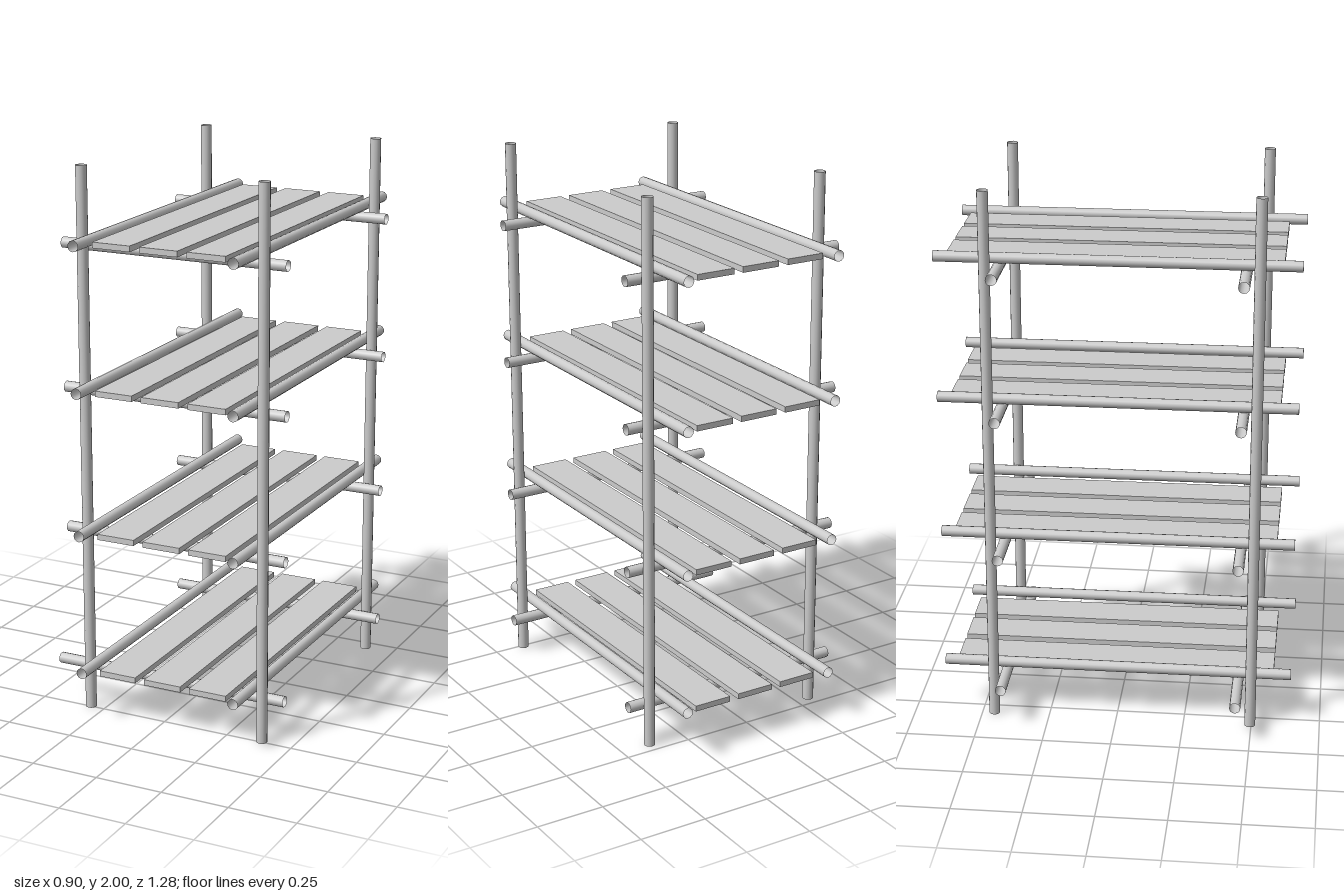
import * as THREE from 'three';

const R = 0.02;

export function createModel() {
  const model = new THREE.Group();
  const poleMat = new THREE.MeshStandardMaterial({ color: 0xcccccc, side: THREE.DoubleSide });
  const plankMat = new THREE.MeshStandardMaterial({ color: 0xcccccc });

  // Open-ended tube running from a to b
  function pole(name, parent, a, b) {
    const start = new THREE.Vector3(...a), end = new THREE.Vector3(...b);
    const dir = end.clone().sub(start);
    const mesh = new THREE.Mesh(new THREE.CylinderGeometry(R, R, dir.length(), 12, 1, true), poleMat);
    mesh.position.copy(start).add(end).multiplyScalar(0.5);
    mesh.quaternion.setFromUnitVectors(new THREE.Vector3(0, 1, 0), dir.normalize());
    mesh.name = name;
    parent.add(mesh);
  }

  // Four upright posts
  for (const x of [-0.305, 0.385])
    for (const z of [-0.455, 0.495]) pole('post', model, [x, 0, z], [x, 2, z]);

  // Shelves: heights of cross poles, side poles and plank centres
  const levels = [
    [0.145, 0.191, 0.175],
    [0.667, 0.711, 0.696],
    [1.192, 1.231, 1.221],
    [1.713, 1.749, 1.745],
  ];
  levels.forEach(([crossY, sideY, plankY], i) => {
    const shelf = new THREE.Group();
    shelf.name = 'shelf';

    // Cross poles; the lowest front one reaches further out
    pole('backCrossPole', shelf, [-0.41, crossY, -0.415], [0.45, crossY, -0.415]);
    pole('frontCrossPole', shelf, [i === 0 ? -0.455 : -0.41, crossY, 0.445], [0.45, crossY, 0.445]);

    // Side poles resting on the cross poles
    for (const x of [-0.26, 0.34]) pole('sidePole', shelf, [x, sideY, -0.64], [x, sideY, 0.64]);

    // Three planks
    for (const x of [-0.149, 0.031, 0.21]) {
      const plank = new THREE.Mesh(new THREE.BoxGeometry(0.144, 0.021, 1.175), plankMat);
      plank.position.set(x, plankY, -0.012);
      plank.name = 'plank';
      shelf.add(plank);
    }
    model.add(shelf);
  });

  return model;
}
